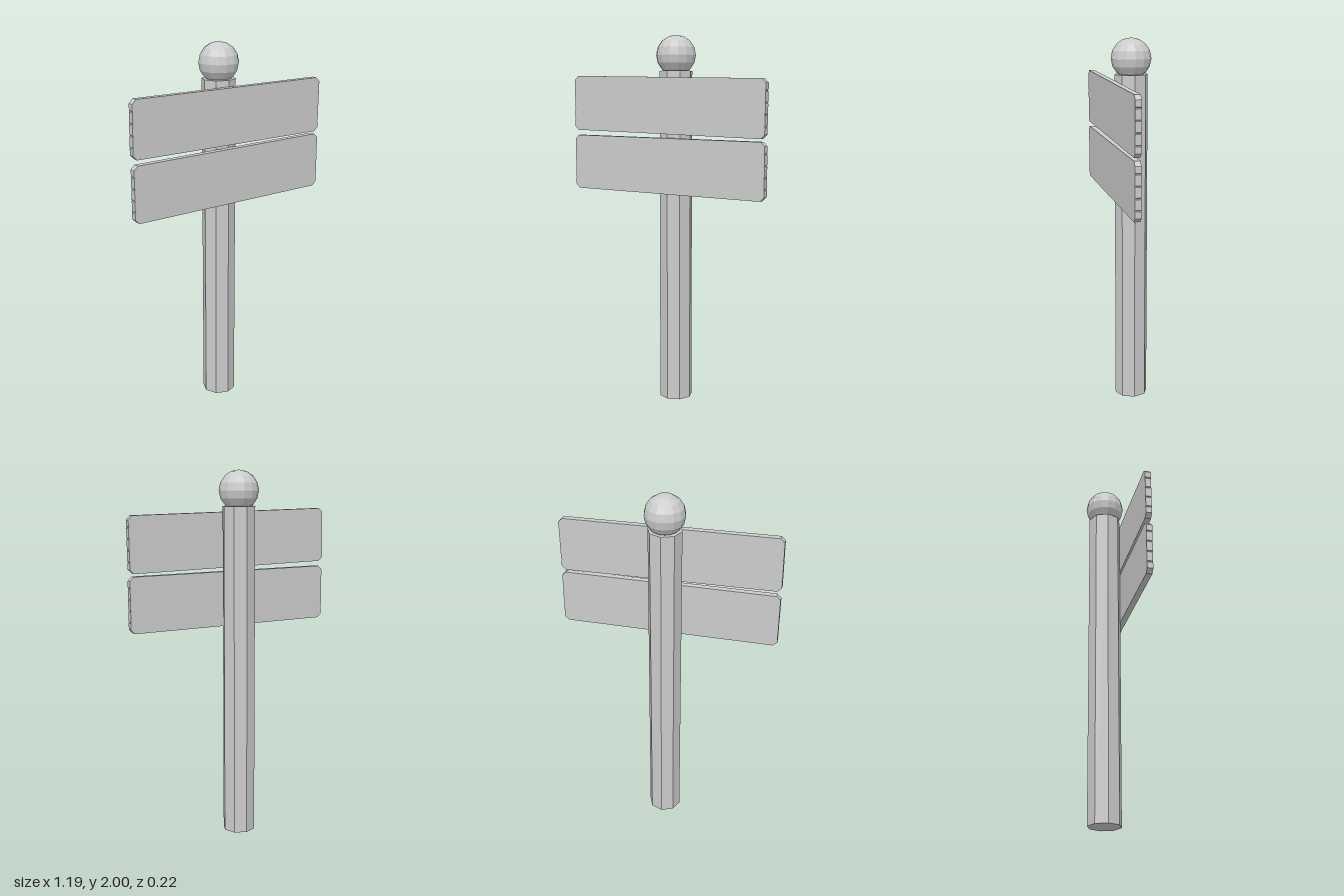
import * as THREE from 'three';

const material = new THREE.MeshStandardMaterial({ color: 0xcccccc, flatShading: true });
const POST_Z = -0.007;

function part(name, geometry, x, y, z) {
  const mesh = new THREE.Mesh(geometry, material);
  mesh.name = name;
  mesh.position.set(x, y, z);
  return mesh;
}

// One plank with clipped corners: separate cuts for the top and bottom edges
function plankGeometry(width, height, depth, topCut, bottomCut) {
  const w = width / 2, h = height / 2;
  const outline = [
    [-w + bottomCut, -h], [w - bottomCut, -h], [w, -h + bottomCut], [w, h - topCut],
    [w - topCut, h], [-w + topCut, h], [-w, h - topCut], [-w, -h + bottomCut],
  ].map(([x, y]) => new THREE.Vector2(x, y));
  return new THREE.ExtrudeGeometry(new THREE.Shape(outline), { depth, bevelEnabled: false });
}

// A sign board made of five stacked planks, the outer corners cut larger
function makeBoard(name, y, tilt) {
  const board = new THREE.Group();
  const count = 5, height = 0.3, step = height / count;
  for (let i = 0; i < count; i++) {
    const geometry = plankGeometry(1.19, step, 0.032,
      i === count - 1 ? 0.022 : 0.004, i === 0 ? 0.022 : 0.004);
    board.add(part('plank', geometry, 0, (i + 0.5) * step - height / 2, 0));
  }
  board.name = name;
  board.position.set(0, y, 0.08);
  board.rotation.z = tilt;
  return board;
}

export function createModel() {
  const model = new THREE.Group();
  model.name = 'signpost';

  // Octagonal post
  model.add(part('post', new THREE.CylinderGeometry(0.09, 0.09, 1.81, 8), 0, 0.905, POST_Z));

  // Faceted ball on top
  model.add(part('ballFinial', new THREE.SphereGeometry(0.107, 14, 8), 0, 1.893, POST_Z));

  // Two boards, the upper one hanging slightly askew
  model.add(makeBoard('lowerBoard', 1.305, 0));
  model.add(makeBoard('upperBoard', 1.627, -0.012));

  return model;
}
